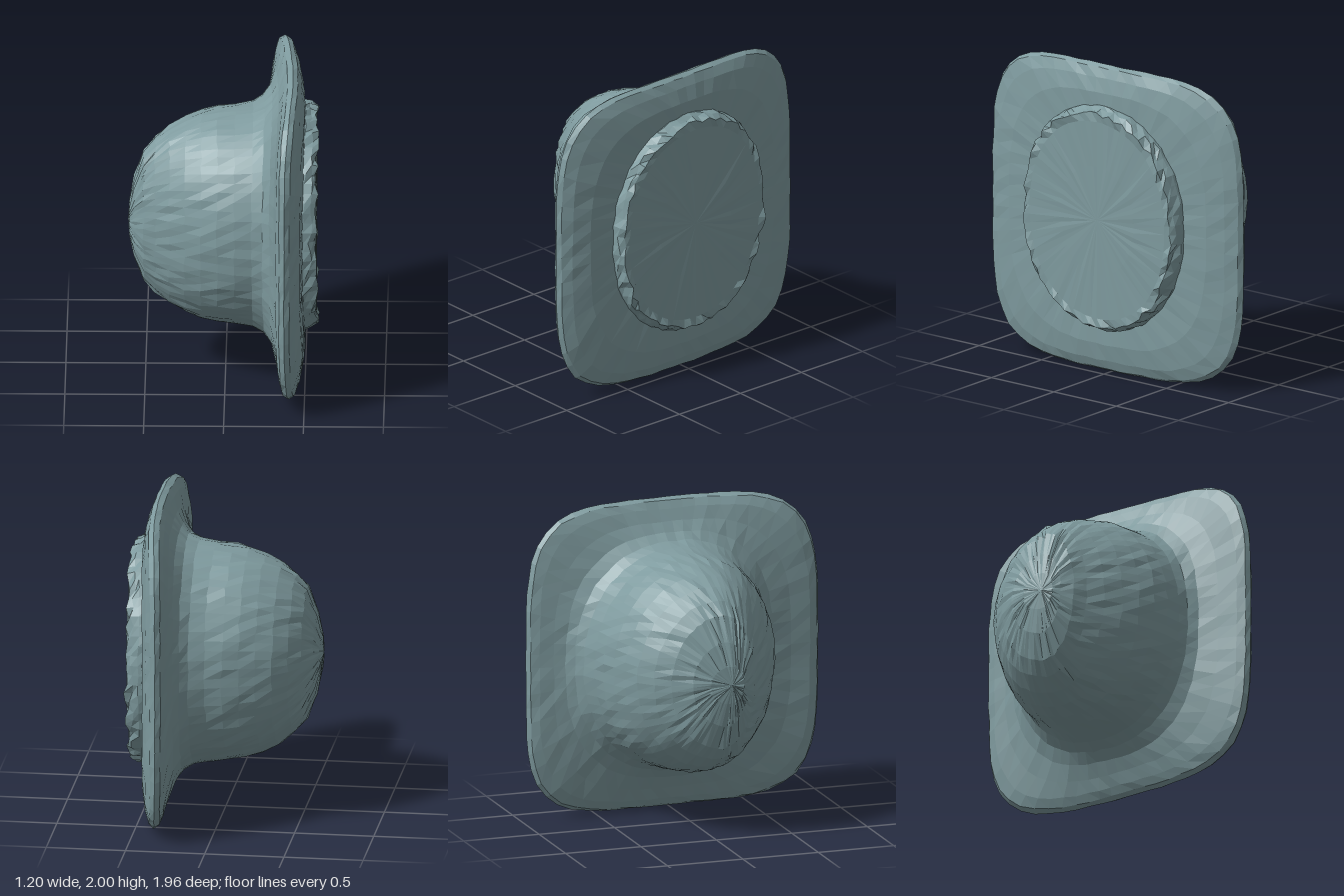
import * as THREE from 'three';

const SEGMENTS = 72;

// Repeatable value in -1..1 from a position, so neighbouring parts share their seam
function rough(x, y, z, k) {
  const s = Math.sin(Math.round(x * 500) * 12.99 + Math.round(y * 500) * 78.23 + Math.round(z * 500) * 37.72 + k * 9.1) * 43758.5453;
  return 2 * (s - Math.floor(s)) - 1;
}

// Lofts rings along x. Ring: [x, half height, half depth at -z, half depth at +z,
// squareness, centre y, centre z, edge bow, roughness]
function loft(rings) {
  const pos = [], index = [];
  for (const [x, ry, zBack, zFront, n, cy, cz, bow, noise] of rings) {
    for (let j = 0; j < SEGMENTS; j++) {
      const t = (j / SEGMENTS) * Math.PI * 2;
      const c = Math.cos(t), s = Math.sin(t);
      const k = Math.pow(Math.pow(Math.abs(c), n) + Math.pow(Math.abs(s), n), -1 / n);
      const y = cy + c * k * ry;
      const z = cz + s * k * (s > 0 ? zFront : zBack);
      const px = x + bow * (0.03 * z - 0.075 * z * z);
      const r = 1 + noise * rough(x, y, z, 1);
      pos.push(px + noise * 0.8 * rough(x, y, z, 2), cy + (y - cy) * r, cz + (z - cz) * r);
    }
  }
  for (let i = 0; i < rings.length - 1; i++) {
    for (let j = 0; j < SEGMENTS; j++) {
      const a = i * SEGMENTS + j, b = i * SEGMENTS + (j + 1) % SEGMENTS;
      const c = a + SEGMENTS, d = b + SEGMENTS;
      index.push(a, b, c, b, d, c);
    }
  }
  const geo = new THREE.BufferGeometry();
  geo.setAttribute('position', new THREE.Float32BufferAttribute(pos, 3));
  geo.setIndex(index);
  const flat = geo.toNonIndexed();
  flat.computeVertexNormals();
  return flat;
}

export function createModel() {
  const group = new THREE.Group();
  const greyTeal = new THREE.MeshStandardMaterial({ color: 0x7f9b9f });
  greyTeal.name = 'greyTeal';

  const add = (name, rings) => {
    const mesh = new THREE.Mesh(loft(rings), greyTeal);
    mesh.name = name;
    group.add(mesh);
  };

  // Rounded bowl, blunter towards the back
  const root = [0.17, 0.71, 0.65, 0.58, 2.15, 1.02, 0, 0.3, 0.006];
  add('dome', [
    [-0.61, 0.001, 0.001, 0.001, 2, 1.02, 0.07, 0, 0],
    [-0.60, 0.12, 0.13, 0.09, 2, 1.02, 0.06, 0, 0.004],
    [-0.57, 0.27, 0.23, 0.14, 2, 1.02, 0.05, 0, 0.008],
    [-0.51, 0.43, 0.34, 0.21, 2, 1.02, 0.04, 0, 0.01],
    [-0.44, 0.51, 0.42, 0.27, 2, 1.02, 0.03, 0, 0.01],
    [-0.35, 0.58, 0.49, 0.35, 2.05, 1.02, 0.02, 0, 0.01],
    [-0.25, 0.63, 0.53, 0.43, 2.1, 1.02, 0.01, 0, 0.01],
    [-0.15, 0.665, 0.56, 0.50, 2.1, 1.02, 0, 0, 0.01],
    [-0.05, 0.685, 0.59, 0.545, 2.1, 1.02, 0, 0, 0.01],
    [0.06, 0.695, 0.61, 0.57, 2.1, 1.02, 0, 0.1, 0.008],
    root,
  ]);

  // Square rounded brim with a soft fillet and a bowed edge
  add('brim', [
    root,
    [0.24, 0.74, 0.69, 0.60, 2.3, 1.015, 0, 0.6, 0.006],
    [0.29, 0.79, 0.74, 0.65, 2.6, 1.01, 0, 0.8, 0.005],
    [0.33, 0.86, 0.81, 0.78, 3.2, 1.0, 0, 1, 0.004],
    [0.36, 0.935, 0.90, 0.91, 4, 1.0, 0, 1, 0.004],
    [0.385, 0.98, 0.955, 0.965, 4.5, 1.0, 0, 1, 0.004],
    [0.42, 0.997, 0.975, 0.982, 4.5, 1.0, 0, 1, 0.003],
    [0.45, 0.98, 0.955, 0.965, 4.4, 1.0, 0, 1, 0.004],
    [0.475, 0.92, 0.88, 0.90, 4, 1.0, 0, 1, 0.004],
    [0.495, 0.82, 0.76, 0.78, 3.1, 1.01, 0, 1, 0.004],
    [0.495, 0.66, 0.55, 0.57, 2.2, 1.02, 0, 1, 0.004],
  ]);

  // Raised oval plug with a ragged edge and a flat face
  add('plug', [
    [0.44, 0.72, 0.60, 0.61, 2.15, 1.02, 0, 0.5, 0.008],
    [0.50, 0.725, 0.60, 0.61, 2.15, 1.02, 0, 0.5, 0.012],
    [0.54, 0.71, 0.585, 0.60, 2.15, 1.02, 0, 0.5, 0.02],
    [0.575, 0.69, 0.57, 0.58, 2.15, 1.02, 0, 0.5, 0.02],
    [0.57, 0.64, 0.53, 0.54, 2.15, 1.02, 0, 0.3, 0.003],
    [0.57, 0.35, 0.29, 0.29, 2.1, 1.02, 0, 0.2, 0.003],
    [0.57, 0.001, 0.001, 0.001, 2, 1.02, 0, 0, 0],
  ]);

  return group;
}
